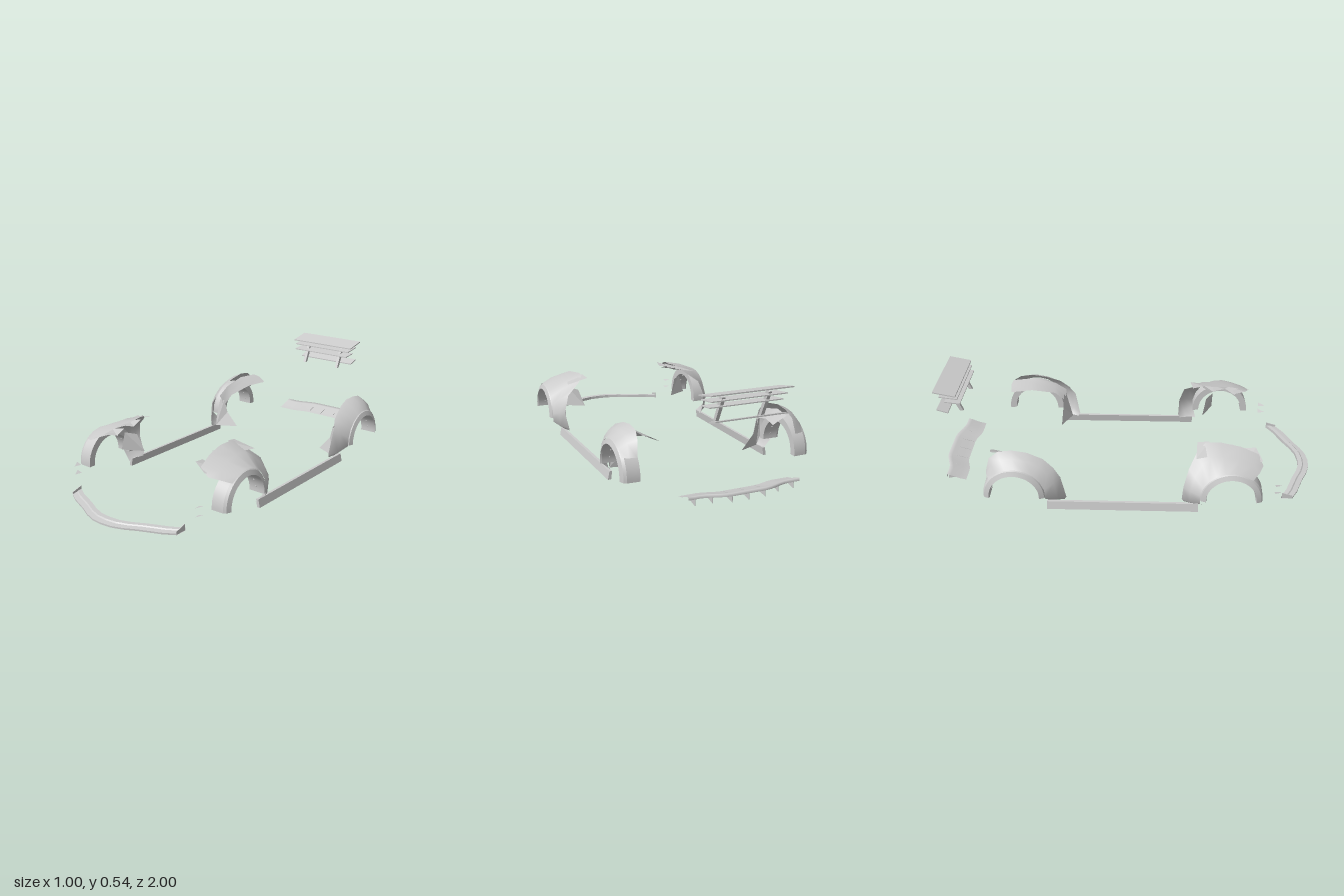
import * as THREE from 'three';

const grey = new THREE.MeshStandardMaterial({ color: 0xcccccc, side: THREE.DoubleSide });
grey.name = 'primer grey';

function add(parent, name, geometry) {
  const mesh = new THREE.Mesh(geometry, grey);
  mesh.name = name;
  parent.add(mesh);
  return mesh;
}

// Surface through rows of [x, y, z] points; faceted unless smooth
function loft(rows, smooth = false) {
  const n = rows[0].length, index = [];
  for (let i = 0; i < rows.length - 1; i++) {
    for (let j = 0; j < n - 1; j++) {
      const a = i * n + j, b = a + n;
      index.push(a, b, a + 1, b, b + 1, a + 1);
    }
  }
  let geo = new THREE.BufferGeometry();
  geo.setAttribute('position', new THREE.Float32BufferAttribute(rows.flat(2), 3));
  geo.setIndex(index);
  if (!smooth) geo = geo.toNonIndexed();
  geo.computeVertexNormals();
  return geo;
}

// Flat panel through three or more corners
function panel(points) {
  const geo = new THREE.BufferGeometry(), verts = [];
  for (let i = 1; i < points.length - 1; i++) verts.push(...points[0], ...points[i], ...points[i + 1]);
  geo.setAttribute('position', new THREE.Float32BufferAttribute(verts, 3));
  geo.computeVertexNormals();
  return geo;
}

// Outline in (z, y) pulled across x between x0 and x1
function slab(outline, x0, x1) {
  const shape = new THREE.Shape(outline.map(([z, y]) => new THREE.Vector2(-z, y)));
  const geo = new THREE.ExtrudeGeometry(shape, { depth: x1 - x0, bevelEnabled: false });
  return geo.rotateY(Math.PI / 2).translate(x0, 0, 0);
}

const ARCH_Y = 0.108;
const onArch = (cz, deg, r, x) => {
  const a = THREE.MathUtils.degToRad(deg);
  return [x, ARCH_Y + r * Math.sin(a), cz + r * Math.cos(a)];
};

// Wheel arch flare with rivets along its underside
function flare(cz) {
  const g = new THREE.Group();
  g.name = 'archFlare';
  const profile = [[0.41, 0.126], [0.41, 0.161], [0.475, 0.159], [0.489, 0.152], [0.499, 0.128], [0.49, 0.125], [0.41, 0.126]];
  const sections = [];
  for (let d = -3; d <= 183; d += 6) sections.push(profile.map(([x, r]) => onArch(cz, d, r, x)));
  for (let k = 0; k < profile.length - 1; k++) {
    add(g, 'flareBand', loft(sections.map(s => [s[k], s[k + 1]]), true));
  }
  for (const end of [sections[0], sections[sections.length - 1]]) add(g, 'flareEnd', panel(end.slice(0, 6)));
  for (let d = 10; d <= 170; d += 20) {
    const rivet = add(g, 'rivet', new THREE.CylinderGeometry(0.004, 0.004, 0.004, 6));
    rivet.position.set(...onArch(cz, d, 0.124, 0.45));
    rivet.rotation.x = Math.PI / 2 - THREE.MathUtils.degToRad(d);
  }
  return g;
}

// Fender skin from the flare edge to a free edge of [z, y, x] points
function fender(cz, startDeg, stepDeg, edge) {
  return loft(edge.map(([z, y, x], i) => {
    const a = onArch(cz, startDeg + stepDeg * i, 0.158, i > 8 ? 0.43 : 0.485);
    const mid = [(a[0] + x) / 2 + 0.005, THREE.MathUtils.lerp(a[1], y, 0.65), THREE.MathUtils.lerp(a[2], z, 0.6)];
    return [a, mid, [x, y, z]];
  }), true);
}

// Everything fitted to one side of the car
function sideKit() {
  const g = new THREE.Group();

  const skirt = new THREE.Shape([[0.432, 0], [0.449, 0], [0.44, 0.043], [0.426, 0.043]].map(p => new THREE.Vector2(...p)));
  add(g, 'sideSkirt', new THREE.ExtrudeGeometry(skirt, { depth: 0.78, bevelEnabled: false }).translate(0, 0, -0.41));

  g.add(flare(0.53), flare(-0.567));

  add(g, 'frontFender', fender(0.53, 50, 17.5, [
    [0.69, 0.255, 0.39], [0.67, 0.285, 0.33], [0.58, 0.315, 0.31], [0.48, 0.325, 0.29], [0.4, 0.33, 0.3],
    [0.36, 0.3, 0.33], [0.315, 0.24, 0.41], [0.29, 0.15, 0.44], [0.285, 0.06, 0.42], [0.295, 0.042, 0.415]]));
  add(g, 'rearFender', fender(-0.567, 140, -18, [
    [-0.715, 0.21, 0.42], [-0.695, 0.285, 0.41], [-0.65, 0.318, 0.4], [-0.58, 0.328, 0.4], [-0.5, 0.315, 0.4],
    [-0.42, 0.285, 0.41], [-0.37, 0.24, 0.42], [-0.335, 0.19, 0.43], [-0.31, 0.06, 0.42], [-0.32, 0.042, 0.415]]));

  // Inner liners
  add(g, 'rearLiner', loft([
    [[0.3, 0.265, -0.695], [0.345, 0.292, -0.7], [0.38, 0.302, -0.692]],
    [[0.333, 0.262, -0.58], [0.37, 0.292, -0.58], [0.4, 0.305, -0.58]],
    [[0.37, 0.225, -0.45], [0.39, 0.255, -0.45], [0.405, 0.275, -0.45]],
    [[0.395, 0.16, -0.395], [0.4, 0.2, -0.39], [0.415, 0.225, -0.385]]], true));
  add(g, 'rearLinerTab', panel([[0.42, 0.042, -0.355], [0.3, 0.045, -0.41], [0.37, 0.125, -0.405],
    [0.39, 0.2, -0.4], [0.415, 0.2, -0.39], [0.43, 0.1, -0.375]]));
  add(g, 'frontLinerPlate', panel([[0.278, 0.14, 0.42], [0.39, 0.14, 0.48], [0.36, 0.245, 0.48], [0.31, 0.235, 0.44]]));

  // Jagged offcuts along the inner edge of the front fender
  for (let i = 0; i < 5; i++) {
    const z = 0.4 + i * 0.06, y = 0.33 - i * 0.008;
    add(g, 'fenderShard', panel([[0.4, y - 0.035, z - 0.05], [0.28 + (i % 2) * 0.02, y - 0.01, z - 0.04],
      [0.29, y - 0.03 * (i % 2), z + 0.02], [0.37, y - 0.03, z + 0.05]]));
  }

  // Canards ahead of the front wheel
  for (const y of [0.103, 0.147]) {
    add(g, 'canard', panel([[0.395, y - 0.006, 0.76], [0.425, y + 0.003, 0.76], [0.4, y - 0.004, 0.8]]));
  }

  // Lip end plate and wing strut
  add(g, 'lipEndPlate', slab([[0.81, 0.024], [0.865, 0.024], [0.865, 0.04], [0.81, 0.056]], 0.346, 0.35));
  add(g, 'wingStrut', slab([[-0.872, 0.39], [-0.89, 0.39], [-0.95, 0.515], [-0.925, 0.515]], 0.107, 0.124));
  return g;
}

export function createModel() {
  const model = new THREE.Group();
  model.name = 'bodyKit';

  const left = sideKit();
  left.name = 'leftSideKit';
  const right = sideKit();
  right.name = 'rightSideKit';
  right.scale.x = -1;
  model.add(left, right);

  // Front lip: closed section swept along a bowed path of [x, z]
  const half = [[0, 1], [0.06, 0.995], [0.12, 0.975], [0.18, 0.945], [0.24, 0.92], [0.29, 0.9], [0.35, 0.865]];
  const path = [...half.slice(1).reverse().map(([x, z]) => [-x, z]), ...half];
  const section = [[0, 0.022], [0, 0.03], [-0.028, 0.033], [-0.034, 0.038], [-0.058, 0.038], [-0.058, 0.022], [0, 0.022]];
  add(model, 'frontLip', loft(path.map(([x, z]) => section.map(([dz, y]) => [x, y, z + dz]))));

  // Rear wing: stacked blades as [half width, front z, front y, rear z, rear y, thickness]
  const blades = [
    [0.204, -0.885, 0.515, -1, 0.538, 0.006],
    [0.19, -0.88, 0.493, -0.975, 0.505, 0.005],
    [0.184, -0.87, 0.463, -0.95, 0.472, 0.005],
    [0.18, -0.94, 0.405, -0.998, 0.422, 0.006]];
  for (const [w, z0, y0, z1, y1, t] of blades) {
    add(model, 'wingBlade', slab([[z0, y0], [z1, y1], [z1, y1 + t], [z0, y0 + t]], -w, w));
  }

  // Rear diffuser: curved tray, upturned rear edge and fins
  const rows = [];
  for (let i = -10; i <= 10; i++) {
    const x = i * 0.0285, u = Math.abs(i) / 10;
    const rear = -0.995 + 0.035 * THREE.MathUtils.smoothstep(u, 0.3, 0.8);
    const front = -0.86 - 0.025 * (1 - THREE.MathUtils.smoothstep(u, 0.3, 0.7));
    rows.push([[x, 0.058, front], [x, 0.066, front - 0.035], [x, 0.085, rear + 0.02], [x, 0.09, rear], [x, 0.075, rear]]);
  }
  add(model, 'diffuserTray', loft(rows, true));
  for (let i = -3; i <= 3; i++) {
    const rear = -0.99 + 0.03 * THREE.MathUtils.smoothstep(Math.abs(i) / 3, 0.3, 0.8);
    add(model, 'diffuserFin', slab([[-0.89, 0.06], [rear, 0.044], [rear, 0.08], [rear + 0.03, 0.08]], i * 0.084 - 0.0015, i * 0.084 + 0.0015));
  }
  return model;
}
